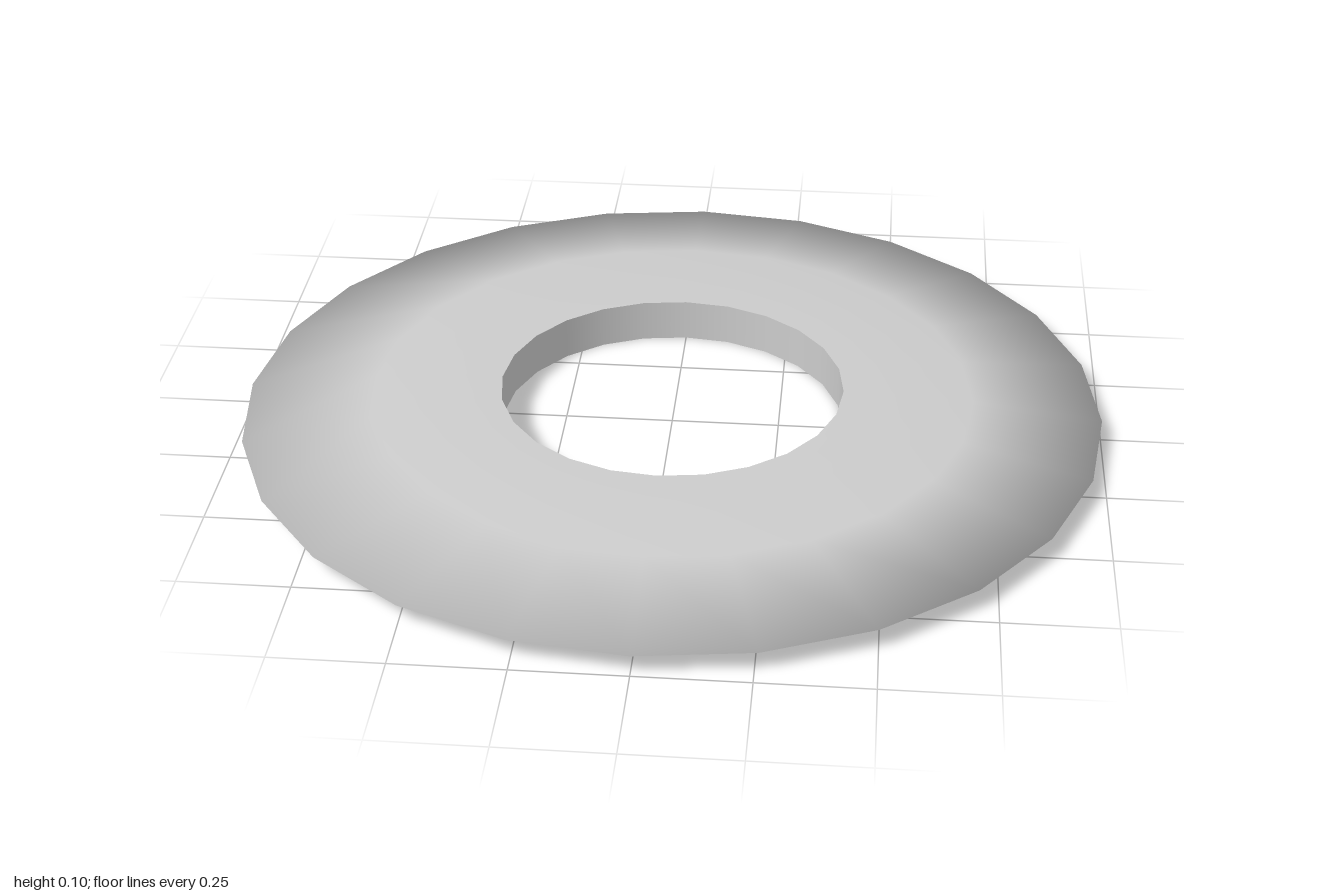
import * as THREE from 'three';

const SIDES = 24;

export function createModel() {
  const group = new THREE.Group();
  group.name = 'ringDisc';
  const material = new THREE.MeshStandardMaterial({ color: 0xcccccc });

  const addLathe = (name, profile) => {
    const points = profile.map(([r, y]) => new THREE.Vector2(r, y));
    const mesh = new THREE.Mesh(new THREE.LatheGeometry(points, SIDES), material);
    mesh.name = name;
    group.add(mesh);
  };

  // Lens-shaped body: underside, thin smooth rim, then the mirrored top
  const under = [[0.4, 0], [0.5, 0.001], [0.7, 0.012]];
  const top = under.map(([r, y]) => [r, 0.1 - y]).reverse();
  addLathe('discBody', [...under, [1, 0.05], ...top]);

  // Wall of the central hole, separate so its edges stay sharp
  addLathe('holeWall', [[0.4, 0.1], [0.4, 0]]);

  return group;
}
